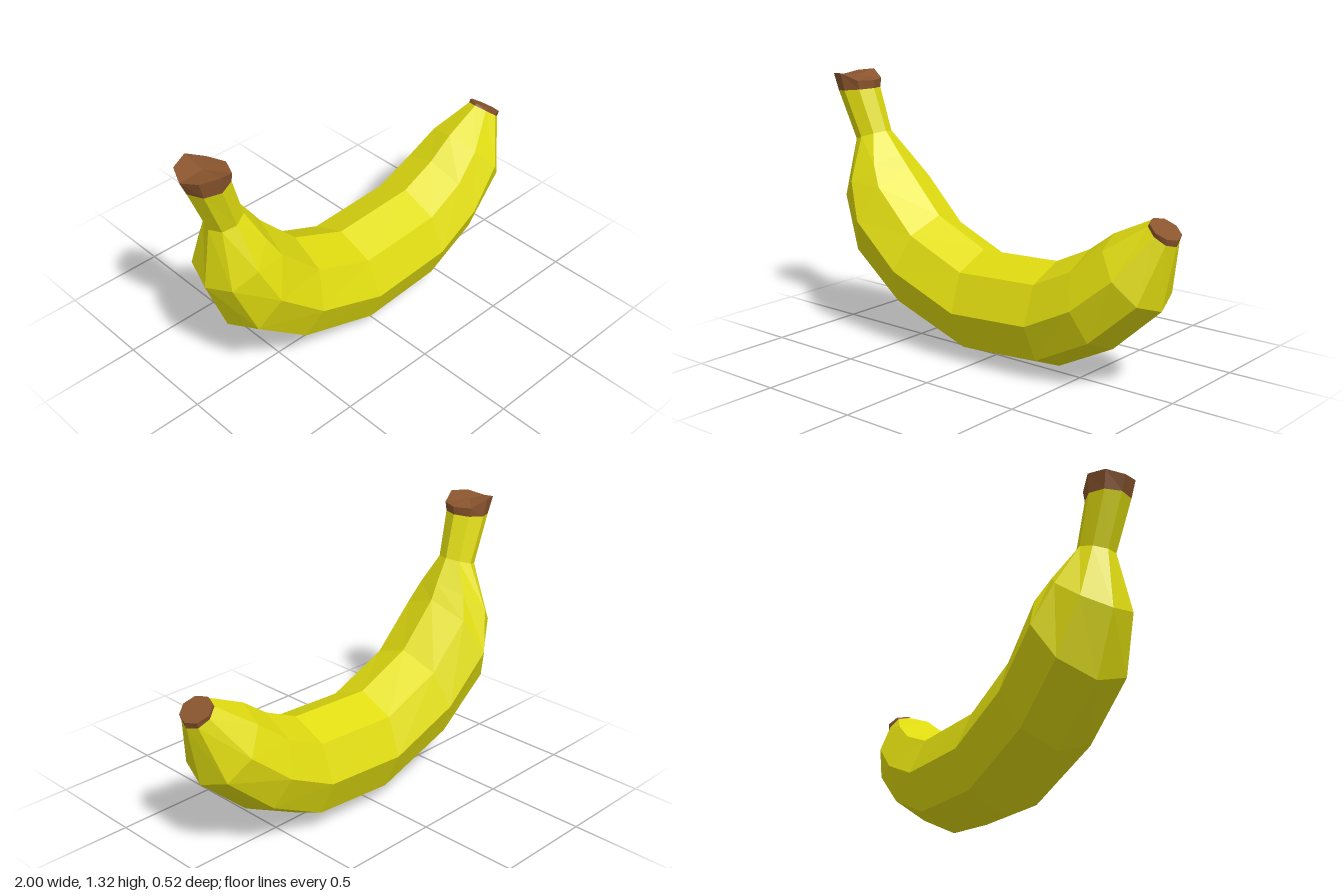
import * as THREE from 'three';

const SIDES = 8;

// Ring: [outer x, outer y, inner x, inner y, half width, z centre, optional height bumps]
function ringPoints([bx, by, tx, ty, w, cz, bumps]) {
  const points = [];
  for (let i = 0; i < SIDES; i++) {
    const a = (i / SIDES) * Math.PI * 2;
    const c = Math.cos(a);
    points.push(new THREE.Vector3(
      (bx + tx) / 2 + ((tx - bx) / 2) * c,
      (by + ty) / 2 + ((ty - by) / 2) * c + (bumps ? bumps[i] : 0),
      cz + Math.sin(a) * w
    ));
  }
  return points;
}

// Skin through the rings, with an optional closed start or end
function loft(name, rings, material, closeStart = false, closeEnd = false) {
  const loops = rings.map(ringPoints);
  const pos = [];
  const tri = (...corners) => corners.forEach((p) => pos.push(p.x, p.y, p.z));
  const centre = (loop) => loop
    .reduce((sum, p) => sum.add(p), new THREE.Vector3())
    .divideScalar(SIDES);
  for (let i = 0; i < SIDES; i++) {
    const k = (i + 1) % SIDES;
    for (let j = 0; j < loops.length - 1; j++) {
      const p = loops[j], q = loops[j + 1];
      tri(p[i], p[k], q[i]);
      tri(p[k], q[k], q[i]);
    }
    const first = loops[0], last = loops[loops.length - 1];
    if (closeStart) tri(centre(first), first[k], first[i]);
    if (closeEnd) tri(centre(last), last[i], last[k]);
  }
  const geometry = new THREE.BufferGeometry();
  geometry.setAttribute('position', new THREE.Float32BufferAttribute(pos, 3));
  geometry.computeVertexNormals();
  const mesh = new THREE.Mesh(geometry, material);
  mesh.name = name;
  return mesh;
}

export function createModel() {
  const yellow = new THREE.MeshStandardMaterial({ color: 0xe0dc10 });
  yellow.name = 'yellow peel';
  yellow.flatShading = true;
  const brown = new THREE.MeshStandardMaterial({ color: 0x8a552e });
  brown.name = 'brown ends';
  brown.flatShading = true;

  // Stations shared by neighbouring parts
  const stemTop = [-0.97, 1.22, -0.765, 1.24, 0.105, 0.038];
  const neck = [-0.87, 0.975, -0.7, 1.03, 0.09, 0.025];
  const tipStart = [0.99, 0.705, 0.86, 0.805, 0.08, -0.005];

  const stem = loft('stem', [stemTop, neck], yellow);

  // Curved fruit body, from neck to tip
  const body = loft('body', [
    neck,
    [-0.905, 0.665, -0.62, 0.92, 0.2, 0.012],
    [-0.79, 0.37, -0.57, 0.85, 0.26, 0],
    [-0.5, 0.15, -0.37, 0.64, 0.26, 0],
    [-0.05, 0, -0.08, 0.515, 0.258, 0],
    [0.38, 0.03, 0.36, 0.535, 0.255, 0],
    [0.68, 0.18, 0.54, 0.62, 0.243, 0],
    [0.93, 0.405, 0.67, 0.715, 0.2, 0],
    tipStart,
  ], yellow);

  // Uneven cut end of the stem
  const stemCap = loft('stemCap', [
    [-1, 1.29, -0.76, 1.28, 0.117, 0.038, [0, 0, 0.03, 0.02, 0, 0.02, 0.035, 0]],
    stemTop,
  ], brown, true);

  // Blunt blossom end
  const tipCap = loft('tipCap', [
    tipStart,
    [0.998, 0.735, 0.87, 0.815, 0.085, -0.005],
  ], brown, false, true);

  const model = new THREE.Group();
  model.name = 'banana';
  model.add(stem, body, stemCap, tipCap);
  return model;
}
